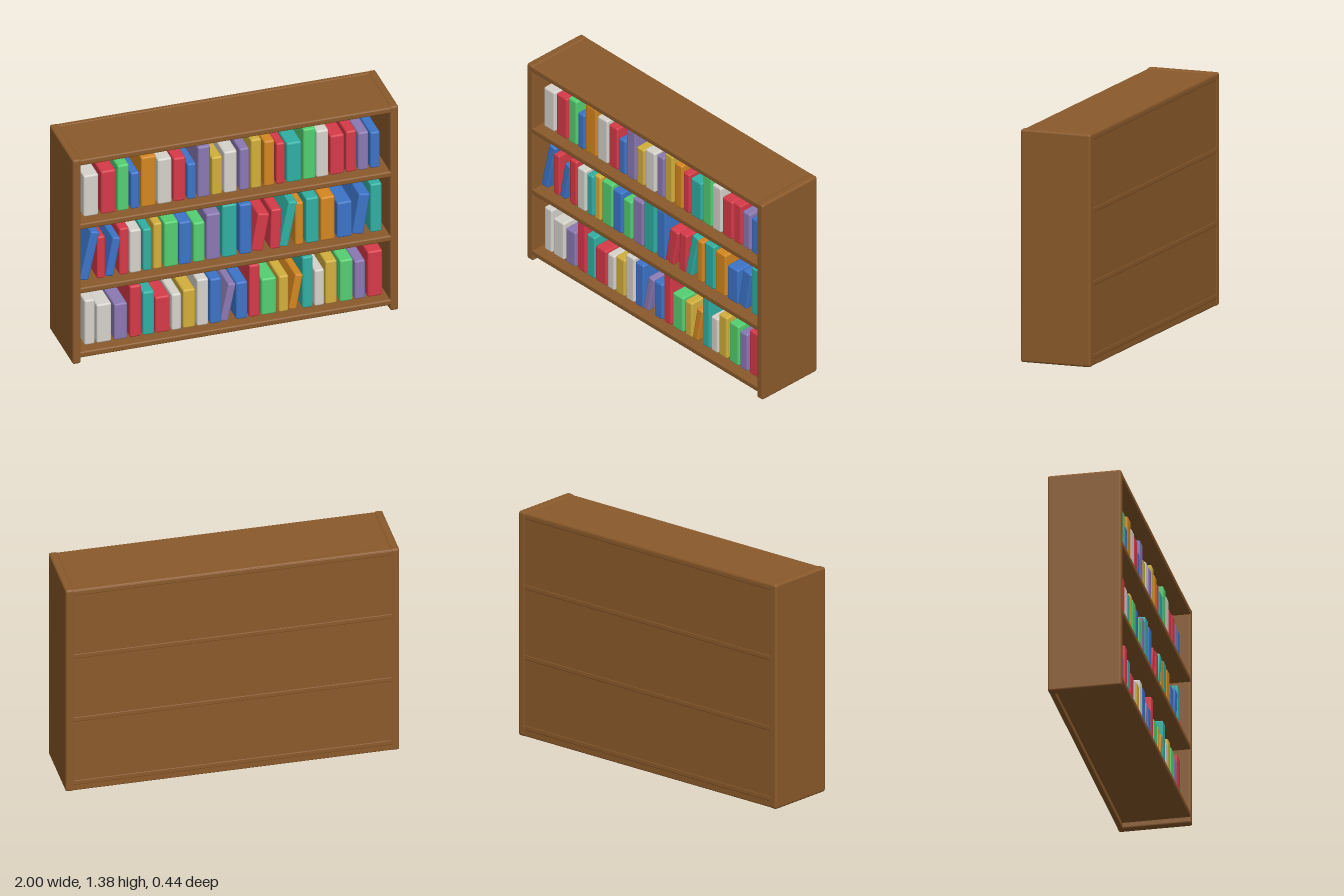
import * as THREE from 'three';
import { RoundedBoxGeometry } from 'three/addons/geometries/RoundedBoxGeometry.js';

const mat = (name, color) => new THREE.MeshStandardMaterial({ name, color });

// Books as [colour, centre x, width, height, lean to the right]
const topRow = [
  ['white', -.869, .091, .279], ['red', -.762, .091, .288], ['green', -.671, .07, .31],
  ['blue', -.599, .053, .245], ['orange', -.516, .091, .337], ['white', -.417, .086, .305],
  ['red', -.326, .075, .294], ['blue', -.251, .053, .24], ['purple', -.176, .075, .342],
  ['yellow', -.096, .064, .256], ['white', -.013, .08, .278], ['purple', .072, .059, .283],
  ['yellow', .144, .064, .331], ['orange', .225, .064, .305], ['red', .294, .053, .278],
  ['teal', .377, .091, .267], ['green', .471, .075, .342], ['white', .551, .075, .315],
  ['red', .642, .086, .267], ['red', .727, .064, .278], ['purple', .802, .064, .256],
  ['blue', .874, .059, .245],
];
const middleRow = [
  ['blue', -.877, .055, .325, .22], ['red', -.807, .05, .285], ['blue', -.733, .05, .26, .18],
  ['red', -.666, .059, .315], ['white', -.596, .07, .29], ['teal', -.524, .053, .283],
  ['yellow', -.46, .053, .31], ['green', -.377, .086, .304], ['blue', -.291, .075, .288],
  ['green', -.206, .07, .267], ['purple', -.118, .086, .31], ['teal', -.019, .091, .353],
  ['blue', .08, .075, .338], ['red', .171, .072, .25, .17], ['red', .265, .064, .267, .03],
  ['teal', .342, .055, .3, .2], ['orange', .409, .05, .288], ['teal', .489, .08, .305],
  ['orange', .583, .086, .293], ['blue', .687, .091, .24], ['blue', .789, .07, .27, .16],
  ['teal', .88, .07, .327],
];
const bottomRow = [
  ['white', -.877, .064, .303], ['white', -.789, .091, .26], ['purple', -.687, .08, .244],
  ['red', -.596, .07, .346], ['teal', -.516, .07, .292], ['red', -.43, .091, .244],
  ['white', -.345, .059, .244], ['yellow', -.267, .075, .26], ['white', -.184, .07, .314],
  ['blue', -.104, .07, .303], ['purple', -.027, .048, .25, .2], ['blue', .056, .07, .25],
  ['red', .134, .064, .351], ['green', .222, .091, .244], ['yellow', .313, .059, .244],
  ['orange', .388, .048, .235, .18], ['teal', .46, .064, .346], ['white', .532, .059, .244],
  ['yellow', .604, .07, .292], ['green', .698, .08, .281], ['purple', .781, .064, .26],
  ['red', .874, .091, .308],
];

export function createModel() {
  const model = new THREE.Group();
  model.name = 'bookcase';

  const wood = mat('wood', 0x8b5a2b);
  const covers = {
    white: mat('white cover', 0xd6d3cc),
    red: mat('red cover', 0xd63a48),
    green: mat('green cover', 0x55cf72),
    blue: mat('blue cover', 0x3c74c8),
    orange: mat('orange cover', 0xd48720),
    purple: mat('purple cover', 0x8a79b2),
    yellow: mat('yellow cover', 0xd2af3c),
    teal: mat('teal cover', 0x30b0a3),
  };

  const roundedBox = (parent, name, material, size, pos, radius) => {
    const mesh = new THREE.Mesh(new RoundedBoxGeometry(...size, 2, radius), material);
    mesh.name = name;
    mesh.position.set(...pos);
    parent.add(mesh);
    return mesh;
  };

  // Case: two sides, a back panel and four boards
  for (const s of [1, -1]) {
    roundedBox(model, s > 0 ? 'leftSide' : 'rightSide', wood,
      [.052, 1.385, .44], [s * .974, .6925, 0], .014);
  }
  roundedBox(model, 'backPanel', wood, [1.99, 1.38, .03], [0, .6925, -.202], .008);
  ['bottomBoard', 'lowerShelf', 'upperShelf', 'topBoard'].forEach((name, i) => {
    roundedBox(model, name, wood, [1.92, .038, .438], [0, .057 + i * .4343, 0], .01);
  });

  // Rows of books, leaning ones resting on their lower corner
  const rows = { bottomBooks: [bottomRow, .083], middleBooks: [middleRow, .519], topBooks: [topRow, .954] };
  for (const [rowName, [books, base]] of Object.entries(rows)) {
    const row = new THREE.Group();
    row.name = rowName;
    model.add(row);
    for (const [colour, x, w, h, lean = 0] of books) {
      const y = base + (h * Math.cos(lean) + w * Math.sin(lean)) / 2;
      const book = roundedBox(row, 'book', covers[colour], [w, h, .33], [x, y, 0], .012);
      book.rotation.z = -lean;
    }
  }
  return model;
}
